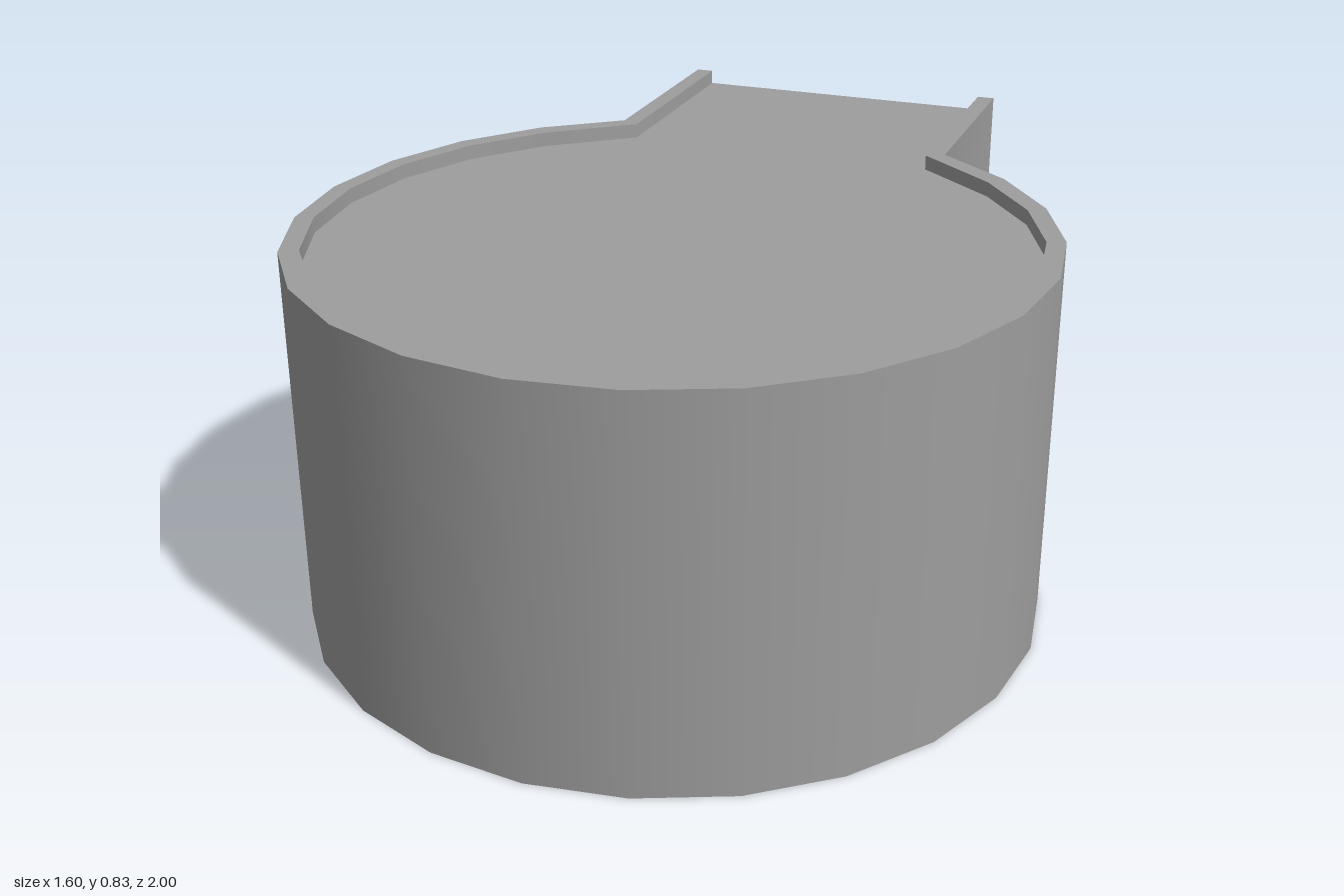
import * as THREE from 'three';

const HEIGHT = 0.833, FLOOR = 0.8, CENTER_Z = 0.2, BACK_Z = -1;

// Keyhole outline from one back corner of the neck, round the drum, to the other (x, -z)
function outline(radiusX, radiusZ, neckHalf, neckZ) {
  const pts = [new THREE.Vector2(-neckHalf, -BACK_Z), new THREE.Vector2(-neckHalf, -neckZ)];
  for (let deg = -135; deg <= 135; deg += 15) {
    const a = THREE.MathUtils.degToRad(deg);
    pts.push(new THREE.Vector2(radiusX * Math.sin(a), -(CENTER_Z + radiusZ * Math.cos(a))));
  }
  pts.push(new THREE.Vector2(neckHalf, -neckZ), new THREE.Vector2(neckHalf, -BACK_Z));
  return pts;
}

// Smooth upright strip along an open outline; normals weighted by segment length
function wallGeometry(pts, y0, y1) {
  const pos = [], normals = [], index = [];
  const last = pts.length - 1;
  const segmentNormal = (i) => {
    const d = pts[i + 1].clone().sub(pts[i]);
    return new THREE.Vector3(d.y, 0, d.x);
  };
  pts.forEach((p, i) => {
    const n = new THREE.Vector3();
    if (i > 0) n.add(segmentNormal(i - 1));
    if (i < last) n.add(segmentNormal(i));
    n.normalize();
    pos.push(p.x, y0, -p.y, p.x, y1, -p.y);
    normals.push(n.x, 0, n.z, n.x, 0, n.z);
    const a = 2 * i, b = a + 2;
    if (i < last) index.push(a, b, b + 1, a, b + 1, a + 1);
  });
  const geo = new THREE.BufferGeometry();
  geo.setAttribute('position', new THREE.Float32BufferAttribute(pos, 3));
  geo.setAttribute('normal', new THREE.Float32BufferAttribute(normals, 3));
  geo.setIndex(index);
  return geo;
}

// Flat horizontal sheet facing up
const sheet = (pts, y) =>
  new THREE.ShapeGeometry(new THREE.Shape(pts)).rotateX(-Math.PI / 2).translate(0, y, 0);

export function createModel() {
  const group = new THREE.Group();
  group.name = 'keyholePlatform';
  const material = new THREE.MeshStandardMaterial({ color: 0x9d9d9d, side: THREE.DoubleSide });
  const add = (name, geometry) => {
    const mesh = new THREE.Mesh(geometry, material);
    mesh.name = name;
    group.add(mesh);
  };

  const outer = outline(0.8, 0.8, 0.4, -0.493);
  const inner = outline(0.76, 0.75, 0.36, -0.472);
  const innerReversed = [...inner].reverse();

  // Thin skirt, open underneath
  add('outerWall', wallGeometry(outer, 0, HEIGHT));

  // Recessed floor with a raised lip round it
  add('floor', sheet(inner, FLOOR));
  add('rimInnerWall', wallGeometry(innerReversed, FLOOR, HEIGHT));
  add('rimTop', sheet([...outer, ...innerReversed], HEIGHT));

  // Closed end of the neck, notched between the two lip ends
  const profile = [
    [-0.4, 0], [0.4, 0], [0.4, HEIGHT], [0.36, HEIGHT],
    [0.36, FLOOR], [-0.36, FLOOR], [-0.36, HEIGHT], [-0.4, HEIGHT],
  ].map(([x, y]) => new THREE.Vector2(x, y));
  const end = new THREE.ShapeGeometry(new THREE.Shape(profile));
  add('neckEnd', end.rotateY(Math.PI).translate(0, 0, BACK_Z));

  return group;
}
